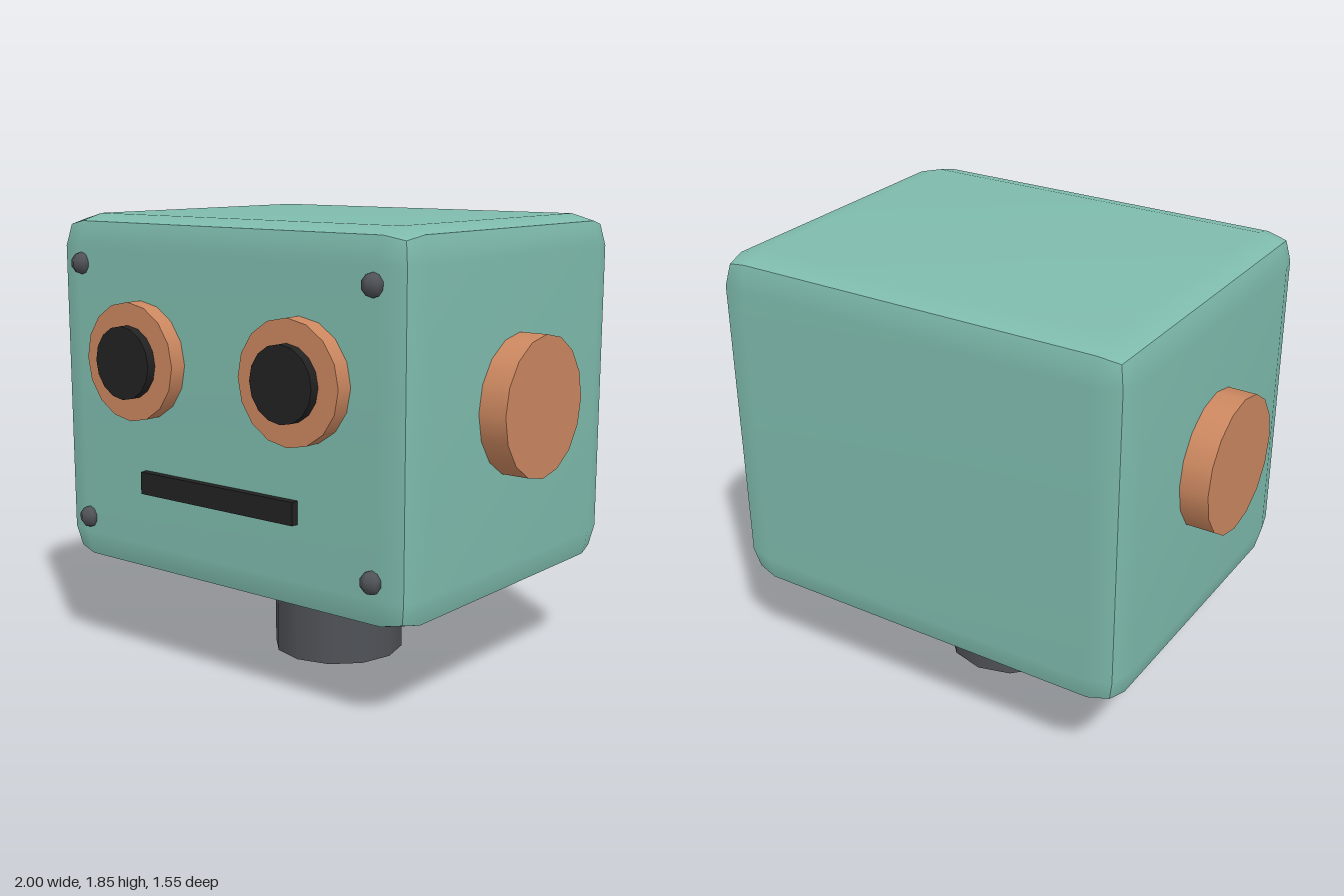
import * as THREE from 'three';

const mat = (name, color) => {
  const m = new THREE.MeshStandardMaterial({ color });
  m.name = name;
  return m;
};

// Box whose faces bulge gently: edges and corners are pulled slightly inward
function softBox(w, h, d) {
  const half = [w / 2, h / 2, d / 2];
  const geo = new THREE.BoxGeometry(2, 2, 2, 3, 3, 3);
  const pos = geo.attributes.position;
  const inset = [0, 0, 0.027, 0.044];
  for (let i = 0; i < pos.count; i++) {
    const p = [pos.getX(i), pos.getY(i), pos.getZ(i)];
    const outer = p.filter((v) => Math.abs(v) > 0.9).length;
    const q = p.map((v, a) =>
      Math.sign(v) * (half[a] - (Math.abs(v) > 0.9 ? inset[outer] : 0.13)));
    pos.setXYZ(i, ...q);
  }
  geo.computeVertexNormals();
  return geo;
}

export function createModel() {
  const teal = mat('teal paint', 0x7fbcae);
  const copper = mat('copper', 0xcc8860);
  const steel = mat('dark steel', 0x4f5257);
  const black = mat('black', 0x222222);

  const model = new THREE.Group();
  model.name = 'robotHead';
  const add = (name, geo, material, x, y, z) => {
    const mesh = new THREE.Mesh(geo, material);
    mesh.name = name;
    mesh.position.set(x, y, z);
    model.add(mesh);
    return mesh;
  };

  // Head and neck
  add('head', softBox(1.77, 1.445, 1.44), teal, 0, 1.1225, -0.055);
  add('neck', new THREE.CylinderGeometry(0.275, 0.275, 0.45, 12), steel, 0, 0.225, -0.075);

  // Ears, eyes and corner rivets, mirrored
  const earGeo = new THREE.CylinderGeometry(0.275, 0.275, 0.16, 16).rotateZ(Math.PI / 2);
  const eyeGeo = new THREE.CylinderGeometry(0.235, 0.235, 0.1, 16).rotateX(Math.PI / 2);
  const pupilGeo = new THREE.CylinderGeometry(0.145, 0.145, 0.08, 16).rotateX(Math.PI / 2);
  const rivetGeo = new THREE.SphereGeometry(0.045, 6, 5).rotateY(Math.PI / 2);
  for (const [side, s] of [['left', 1], ['right', -1]]) {
    add(side + 'Ear', earGeo, copper, s * 0.92, 1.155, -0.055);
    add(side + 'EyeRing', eyeGeo, copper, s * 0.405, 1.285, 0.685);
    add(side + 'Pupil', pupilGeo, black, s * 0.405, 1.285, 0.733);
    add(side + 'UpperRivet', rivetGeo, steel, s * 0.737, 1.65, 0.667);
    add(side + 'LowerRivet', rivetGeo, steel, s * 0.737, 0.595, 0.667);
  }

  // Mouth slot
  add('mouth', new THREE.BoxGeometry(0.79, 0.09, 0.06), black, 0, 0.795, 0.667);

  return model;
}
